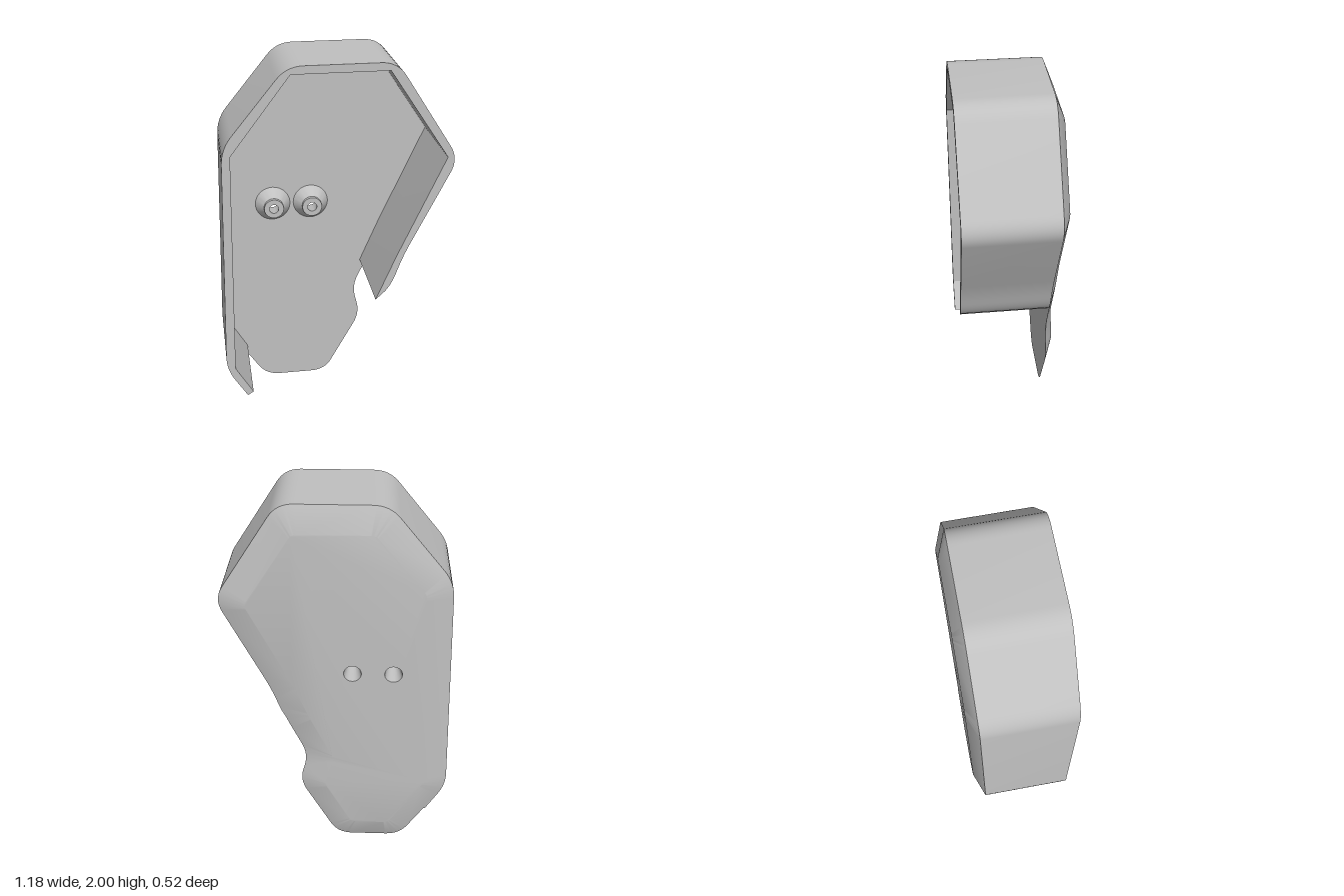
import * as THREE from 'three';
import { toCreasedNormals } from 'three/addons/utils/BufferGeometryUtils.js';

const V = (x, y) => new THREE.Vector2(x, y);
const toPoints = list => list.map(([x, y]) => V(x, y));
const FRONT = 0.26, SEAM = -0.21, BACK = -0.26;
const STUDS = [-0.285, -0.077], STUD_Y = 1.113;

// Rounds polygon corners with quadratic curves, keeping the ends of open paths
function roundCorners(pts, reach, closed = true, steps = 8) {
  const n = pts.length, out = [];
  pts.forEach((p, i) => {
    if (!closed && (i === 0 || i === n - 1)) { out.push(p.clone()); return; }
    const a = pts[(i + n - 1) % n], b = pts[(i + 1) % n];
    const from = p.clone().add(a.clone().sub(p).setLength(Math.min(reach, a.distanceTo(p) * 0.45)));
    const to = p.clone().add(b.clone().sub(p).setLength(Math.min(reach, b.distanceTo(p) * 0.45)));
    out.push(...new THREE.QuadraticBezierCurve(from, p, to).getPoints(steps));
  });
  return out;
}

// Mitred inset of a counter-clockwise polygon
function inset(pts, d) {
  const n = pts.length;
  return pts.map((p, i) => {
    const u = p.clone().sub(pts[(i + n - 1) % n]).normalize();
    const w = pts[(i + 1) % n].clone().sub(p).normalize();
    const n1 = V(-u.y, u.x), n2 = V(-w.y, w.x);
    return p.clone().addScaledVector(n1.clone().add(n2), d / (1 + n1.dot(n2)));
  });
}

// Back plate: flat front, bevelled rim and a smaller back face, pierced twice
function plateGeometry() {
  const corners = toPoints([[0, 0], [0.21, 0.38], [0.16, 0.56], [0.27, 0.79], [0.345, 0.98],
    [0.607, 1.5], [0.284, 2], [-0.243, 2], [-0.563, 1.61], [-0.595, 0.37], [-0.351, 0]]);
  const rim = roundCorners(corners, 0.08);
  const inner = roundCorners(inset(corners, 0.13), 0.025);
  const holes = STUDS.map(x => Array.from({ length: 32 }, (_, i) => {
    const a = -i / 32 * Math.PI * 2;
    return V(x + Math.cos(a) * 0.045, STUD_Y + Math.sin(a) * 0.045);
  }));
  const pos = [];
  const put = (p, z) => pos.push(p.x, p.y, z);
  const cap = (outline, z, facing) => {
    const all = [outline, ...holes].flat();
    for (const [i, j, k] of THREE.ShapeUtils.triangulateShape(outline, holes)) {
      const a = all[i], b = all[j], c = all[k];
      const same = b.clone().sub(a).cross(c.clone().sub(a)) * facing > 0;
      for (const p of same ? [a, b, c] : [a, c, b]) put(p, z);
    }
  };
  cap(rim, SEAM, 1);
  cap(inner, BACK, -1);
  rim.forEach((p, i) => {
    const j = (i + 1) % rim.length;
    put(p, SEAM); put(inner[i], BACK); put(rim[j], SEAM);
    put(rim[j], SEAM); put(inner[i], BACK); put(inner[j], BACK);
  });
  const g = new THREE.BufferGeometry();
  g.setAttribute('position', new THREE.Float32BufferAttribute(pos, 3));
  return toCreasedNormals(g, 0.6);
}

// Side wall: open band, rounded outside and sharp inside
function wallGeometry() {
  const outer = roundCorners(toPoints([[-0.488, 0.195], [-0.595, 0.37], [-0.563, 1.61], [-0.243, 2],
    [0.284, 2], [0.607, 1.5], [0.345, 0.98], [0.283, 0.805], [0.204, 0.73]]), 0.08, false);
  const inner = toPoints([[0.31, 0.98], [0.553, 1.51], [0.252, 1.96],
    [-0.225, 1.96], [-0.522, 1.57], [-0.547, 0.37], [-0.457, 0.215]]);
  const g = new THREE.ExtrudeGeometry(new THREE.Shape([...outer, ...inner]),
    { depth: FRONT - SEAM, bevelEnabled: false });
  g.translate(0, 0, SEAM);
  return toCreasedNormals(g, 0.5);
}

// Hollow conical stud with a short neck and a tapered bore
function studGeometry() {
  const profile = toPoints([[0.095, 0], [0.053, 0.06], [0.053, 0.08], [0.025, 0.08], [0.045, BACK - SEAM]]);
  const g = new THREE.LatheGeometry(profile, 32);
  g.rotateX(Math.PI / 2);
  return toCreasedNormals(g, 0.5);
}

export function createModel() {
  const model = new THREE.Group();
  model.name = 'openHousing';
  const grey = new THREE.MeshStandardMaterial({ color: 0xc0c0c0 });
  grey.name = 'plainGrey';
  const add = (name, geometry) => {
    const mesh = new THREE.Mesh(geometry, grey);
    mesh.name = name;
    model.add(mesh);
    return mesh;
  };
  add('backPlate', plateGeometry());
  add('sideWall', wallGeometry());
  const stud = studGeometry();
  STUDS.forEach((x, i) => add(i ? 'leftStud' : 'rightStud', stud).position.set(x, STUD_Y, SEAM));
  return model;
}
